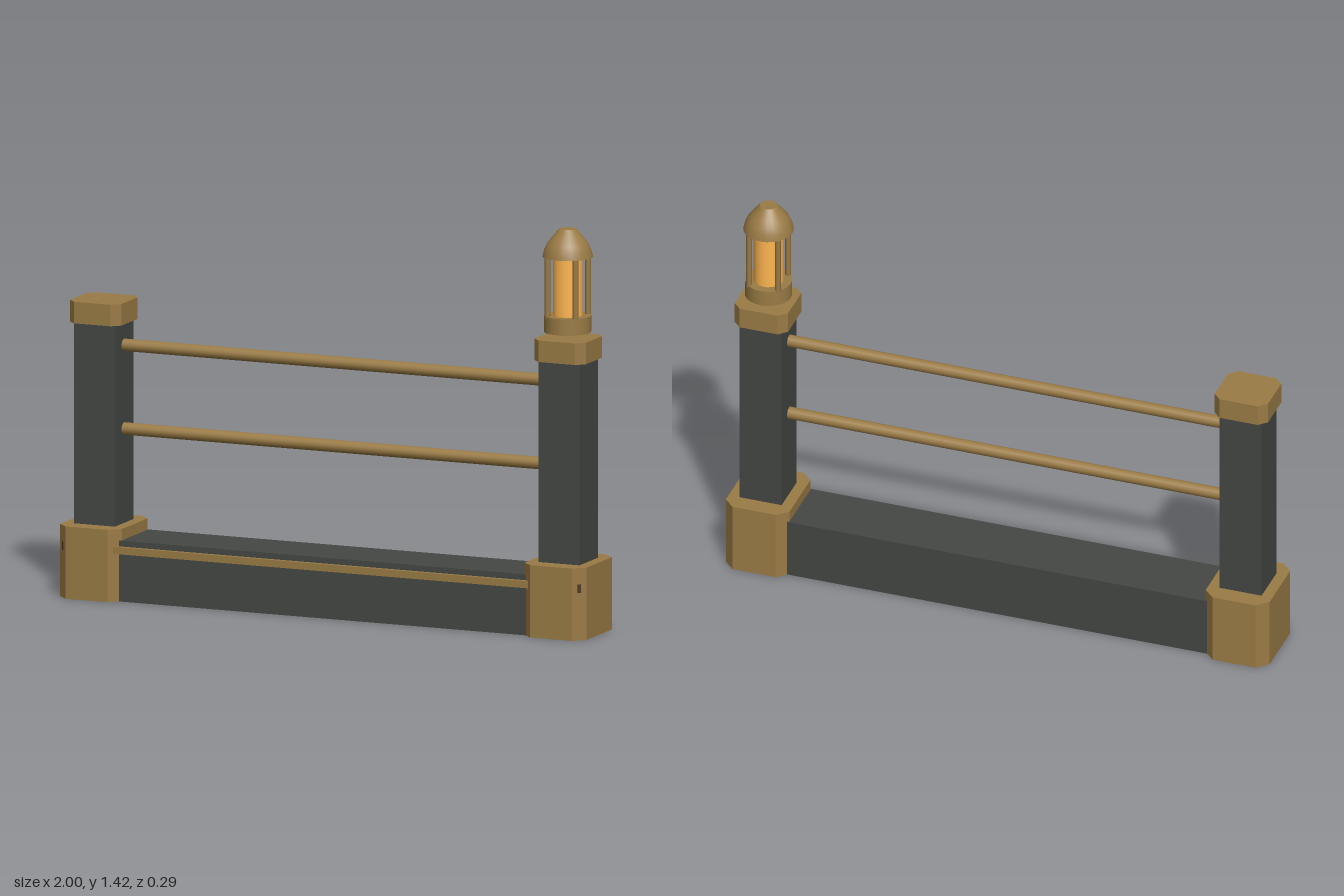
import * as THREE from 'three';

const mat = (color) => new THREE.MeshStandardMaterial({ color });
const brass = mat(0x9a7b45);
const stone = mat(0x444743);
const glow = mat(0xffb650);
const slotDark = mat(0x4a3a20);

function add(parent, name, geometry, material, x = 0, y = 0, z = 0) {
  const mesh = new THREE.Mesh(geometry, material);
  mesh.name = name;
  mesh.position.set(x, y, z);
  parent.add(mesh);
  return mesh;
}

// Upright block with chamfered vertical corners, standing on y = 0
function chamferedBlock(width, height, depth, c) {
  const w = width / 2, d = depth / 2;
  const shape = new THREE.Shape([
    [w - c, -d], [w, -d + c], [w, d - c], [w - c, d],
    [-w + c, d], [-w, d - c], [-w, -d + c], [-w + c, -d],
  ].map(([x, y]) => new THREE.Vector2(x, y)));
  return new THREE.ExtrudeGeometry(shape, { depth: height, bevelEnabled: false }).rotateX(-Math.PI / 2);
}

// Lathe from [radius, height] pairs
const lathe = (points) => new THREE.LatheGeometry(points.map(([r, y]) => new THREE.Vector2(r, y)), 24);

function createLantern() {
  const lantern = new THREE.Group();
  lantern.name = 'lantern';
  add(lantern, 'lanternBase', new THREE.CylinderGeometry(0.082, 0.082, 0.058, 24), brass, 0, 0.029, 0);
  add(lantern, 'lanternGlass', new THREE.CylinderGeometry(0.052, 0.052, 0.22, 24), glow, 0, 0.16, 0);
  // Four cage bars at the corners
  for (const x of [-1, 1]) {
    for (const z of [-1, 1]) {
      add(lantern, 'lanternBar', new THREE.CylinderGeometry(0.01, 0.01, 0.22, 10), brass, x * 0.053, 0.16, z * 0.053);
    }
  }
  // Domed roof with a flat tip, closed underneath
  add(lantern, 'lanternRoof', lathe([
    [0.088, 0], [0.083, 0.022], [0.073, 0.045], [0.058, 0.065], [0.03, 0.098],
  ]), brass, 0, 0.265, 0);
  add(lantern, 'lanternRoofTip', new THREE.CircleGeometry(0.03, 24).rotateX(-Math.PI / 2), brass, 0, 0.363, 0);
  add(lantern, 'lanternRoofUnderside', new THREE.CircleGeometry(0.088, 24).rotateX(Math.PI / 2), brass, 0, 0.265, 0);
  return lantern;
}

export function createModel() {
  const model = new THREE.Group();
  model.name = 'railing';

  // Low wall between the posts, with a trim strip on the front
  add(model, 'curb', new THREE.BoxGeometry(1.56, 0.215, 0.23), stone, 0, 0.1075, 0);
  add(model, 'curbTrim', new THREE.BoxGeometry(1.575, 0.025, 0.018), brass, 0, 0.182, 0.122);

  // Two horizontal rails
  for (const y of [0.588, 0.883]) {
    add(model, 'rail', new THREE.CylinderGeometry(0.022, 0.022, 1.62, 16).rotateZ(Math.PI / 2), brass, 0, y, 0);
  }

  // End posts: plinth, shaft and cap
  for (const side of [-1, 1]) {
    const post = new THREE.Group();
    post.name = side > 0 ? 'leftPost' : 'rightPost';
    post.position.x = side * 0.882;
    add(post, 'plinth', chamferedBlock(0.235, 0.255, 0.29, 0.038), brass);
    add(post, 'shaft', new THREE.BoxGeometry(0.155, 0.72, 0.156), stone, 0, 0.61, 0);
    add(post, 'cap', chamferedBlock(0.196, 0.076, 0.194, 0.028), brass, 0, 0.964, 0);
    // Small slot on the outer front chamfer
    const slot = add(post, 'slot', new THREE.BoxGeometry(0.012, 0.03, 0.004), slotDark, side * 0.0985, 0.183, 0.126);
    slot.rotation.y = side * Math.PI / 4;
    model.add(post);
  }

  // Lantern over the left post
  const lantern = createLantern();
  lantern.position.set(0.88, 1.06, 0);
  model.add(lantern);

  return model;
}
